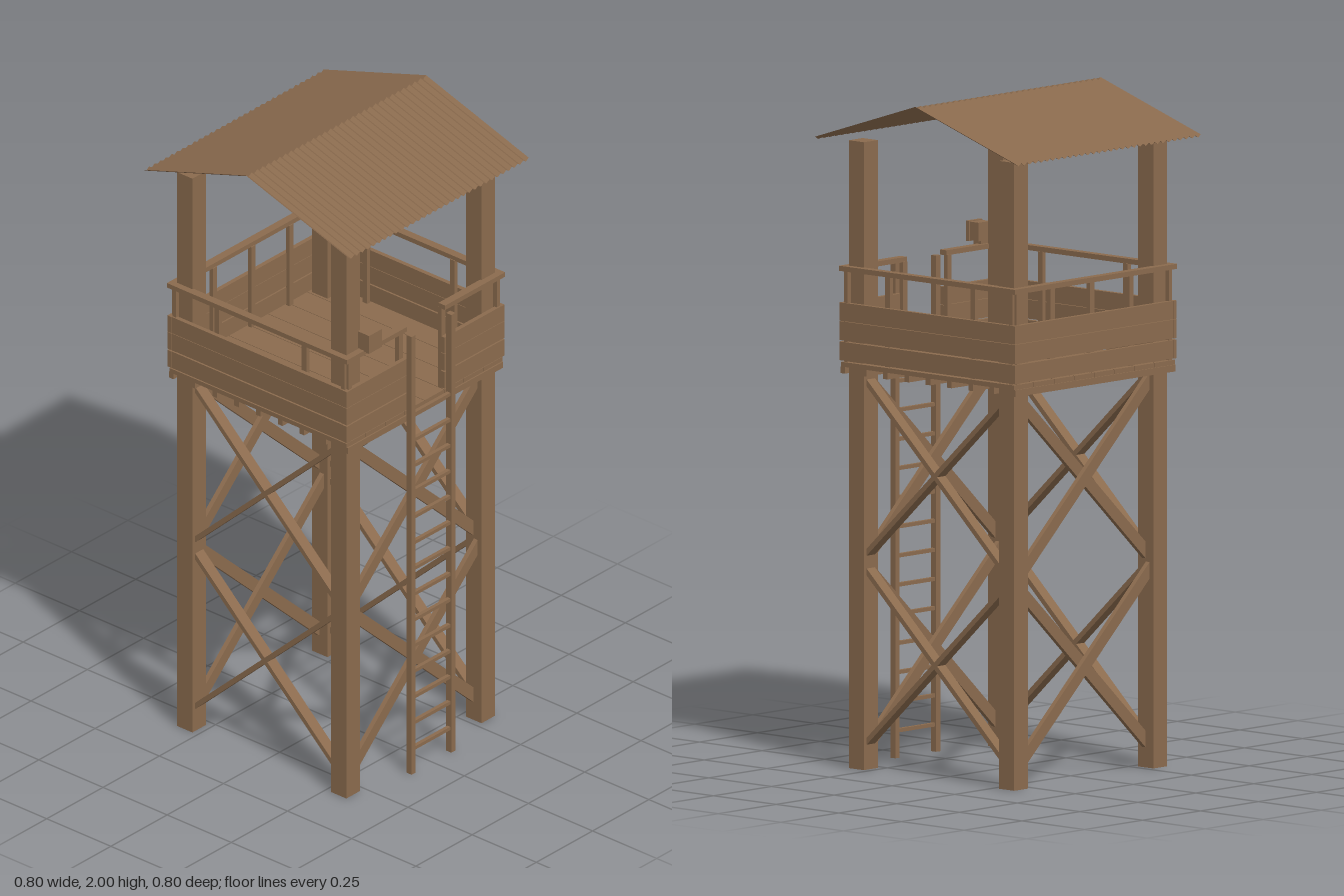
import * as THREE from 'three';

export function createModel() {
  const tower = new THREE.Group();
  tower.name = 'watchtower';
  const wood = new THREE.MeshStandardMaterial({ color: 0x8b6b4e, flatShading: true });
  wood.name = 'brown wood';
  const sheet = wood.clone();
  sheet.side = THREE.DoubleSide;

  const box = (parent, name, w, h, d, x, y, z) => {
    const m = new THREE.Mesh(new THREE.BoxGeometry(w, h, d), wood);
    m.name = name;
    m.position.set(x, y, z);
    parent.add(m);
    return m;
  };
  const group = (name) => {
    const g = new THREE.Group();
    g.name = name;
    tower.add(g);
    return g;
  };

  // Four corner posts
  const posts = group('posts');
  for (const x of [-0.3, 0.3]) for (const z of [-0.3, 0.3])
    box(posts, 'cornerPost', 0.06, 1.86, 0.06, x, 0.93, z);

  // Two tiers of crossed braces on every side
  const braces = group('braces');
  const angle = Math.atan2(0.52, 0.56);
  for (const y of [0.335, 0.895]) for (const s of [-1, 1]) for (const t of [-1, 1]) {
    const a = box(braces, 'crossBrace', 0.77, 0.036, 0.015, 0, y, s * 0.3 + t * 0.008);
    a.rotation.z = t * angle;
    const b = box(braces, 'sideBrace', 0.036, 0.015, 0.77, s * 0.3, y, 0);
    b.rotation.x = t * angle;
  }

  // Joists across, floor boards on top
  const platform = group('platform');
  for (let i = -4; i <= 4; i++) {
    box(platform, 'joist', 0.69, 0.02, 0.018, 0, 1.18, i * 0.085);
  }
  for (let i = 0; i < 8; i++)
    box(platform, 'floorBoard', 0.085, 0.014, 0.69, -0.3045 + i * 0.087, 1.197, 0);

  // One length of parapet: three boards, a top rail and its uprights
  const parapet = (name, from, to, uprights) => {
    const g = group(name);
    const len = to - from, mid = (from + to) / 2;
    [[1.2365, 0.055], [1.2965, 0.056], [1.353, 0.054]].forEach(([y, h]) =>
      box(g, 'wallBoard', len, h, 0.014, mid, y, 0.342));
    box(g, 'topRail', len, 0.015, 0.026, mid, 1.481, 0.338);
    for (const x of uprights) box(g, 'upright', 0.018, 0.27, 0.014, x, 1.34, 0.329);
    return g;
  };
  parapet('frontRightParapet', -0.35, -0.085, [-0.335, -0.095]);
  parapet('frontLeftParapet', 0.085, 0.35, [0.095, 0.335]);
  parapet('backParapet', -0.35, 0.35, [-0.335, -0.17, 0, 0.17, 0.335]).rotation.y = Math.PI;
  for (const s of [-1, 1])
    parapet('sideParapet', -0.35, 0.35, [-0.335, -0.17, 0.17, 0.335]).rotation.y = s * Math.PI / 2;

  // Ladder up to the front opening
  const ladder = group('ladder');
  for (const x of [-0.088, 0.088]) box(ladder, 'ladderRail', 0.018, 1.47, 0.02, x, 0.735, 0.37);
  for (let i = 0; i < 14; i++)
    box(ladder, 'rung', 0.16, 0.011, 0.012, 0, 0.08 + i * 0.0863, 0.37);

  // Small lamp box on the front rail
  const lamp = group('lamp');
  box(lamp, 'lampBody', 0.05, 0.055, 0.04, -0.26, 1.525, 0.355);
  box(lamp, 'lampFrame', 0.058, 0.06, 0.012, -0.26, 1.525, 0.376);
  box(lamp, 'lampFoot', 0.03, 0.014, 0.03, -0.26, 1.493, 0.35);

  // Two corrugated roof slopes
  const roof = group('roof');
  for (const s of [-1, 1]) {
    const waves = 32;
    const geo = new THREE.PlaneGeometry(0.8, 0.4, waves * 4, 1);
    geo.rotateX(-Math.PI / 2);
    const p = geo.attributes.position;
    for (let i = 0; i < p.count; i++) {
      const z = p.getZ(i) + s * 0.2;
      const ripple = 0.004 * Math.cos((p.getX(i) + 0.4) / 0.8 * waves * Math.PI * 2);
      p.setXYZ(i, p.getX(i), 1.996 - Math.abs(z) * 0.322 + ripple, z);
    }
    geo.computeVertexNormals();
    const slope = new THREE.Mesh(geo, sheet);
    slope.name = s > 0 ? 'frontRoofSlope' : 'backRoofSlope';
    roof.add(slope);
  }
  return tower;
}
